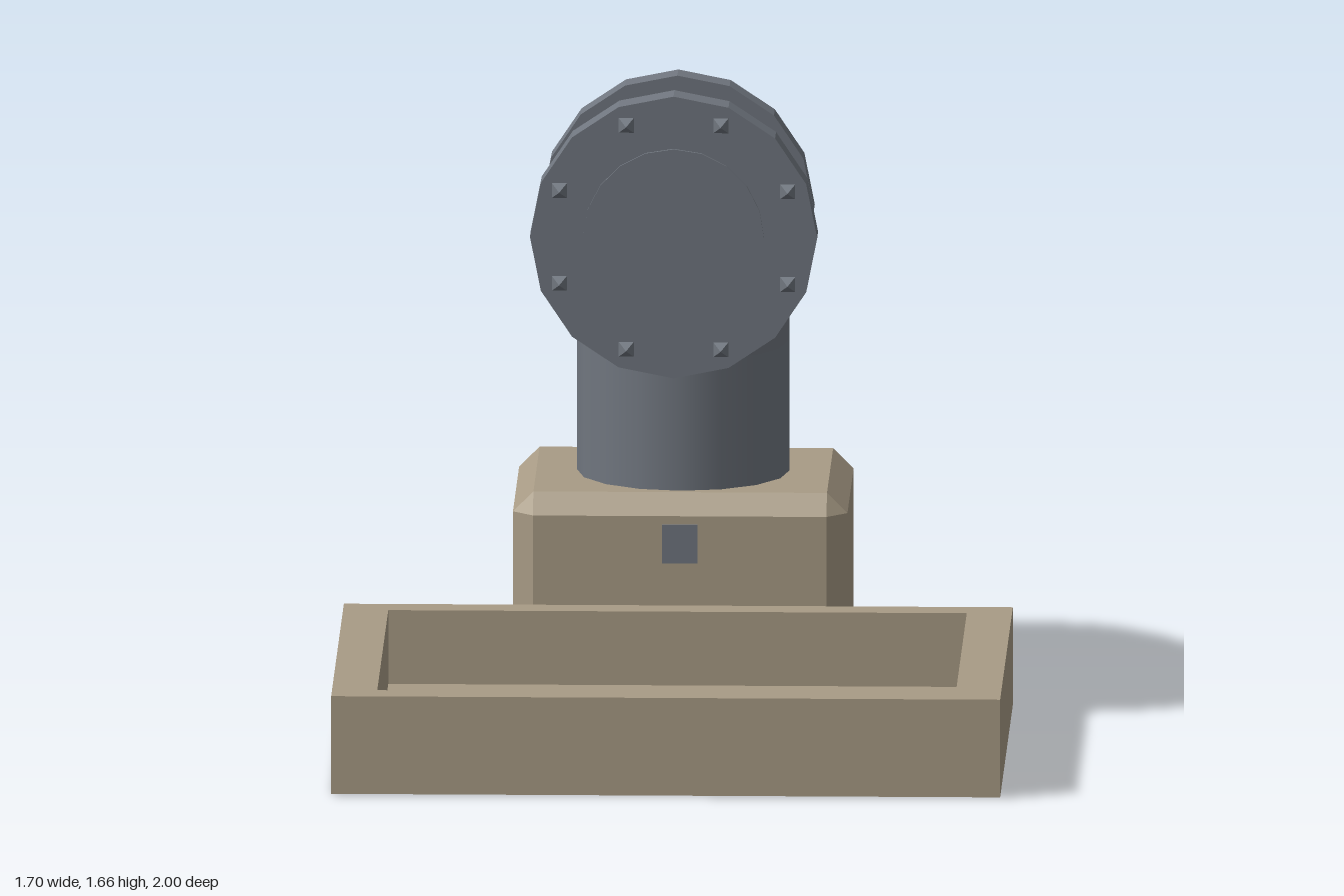
import * as THREE from 'three';
import { ConvexGeometry } from 'three/addons/geometries/ConvexGeometry.js';

export function createModel() {
  const model = new THREE.Group();
  const stone = new THREE.MeshStandardMaterial({ color: 0xa89b85 });
  stone.name = 'stone';
  const steel = new THREE.MeshStandardMaterial({ color: 0x70767f });
  steel.name = 'steel';

  const add = (name, geometry, material, x = 0, y = 0, z = 0, parent = model) => {
    const mesh = new THREE.Mesh(geometry, material);
    mesh.name = name;
    mesh.position.set(x, y, z);
    parent.add(mesh);
    return mesh;
  };
  const flat = (geometry) => {
    const g = geometry.toNonIndexed();
    g.computeVertexNormals();
    return g;
  };

  // Basin: rectangular rim with a sunken floor and a steel underside
  const rim = new THREE.Shape([[-0.85, -1], [0.85, -1], [0.85, 0.19], [-0.85, 0.19]]
    .map(([x, y]) => new THREE.Vector2(x, y)));
  rim.holes.push(new THREE.Path([[-0.735, -0.92], [-0.735, 0.11], [0.735, 0.11], [0.735, -0.92]]
    .map(([x, y]) => new THREE.Vector2(x, y))));
  const rimGeometry = new THREE.ExtrudeGeometry(rim, { depth: 0.253, bevelEnabled: false });
  rimGeometry.rotateX(-Math.PI / 2);
  add('basinRim', rimGeometry, stone, 0, 0.003, 0);
  add('basinFloor', new THREE.BoxGeometry(1.47, 0.06, 1.03), stone, 0, 0.035, 0.405);
  add('basinUnderside', new THREE.PlaneGeometry(1.7, 1.19).rotateX(Math.PI / 2), steel, 0, 0, 0.405);

  // Pedestal: box with chamfered edges, steel on its lowest faces
  const [hx, hy, hz, c] = [0.425, 0.2575, 0.34, 0.052];
  const points = [];
  for (const sx of [-1, 1]) for (const sy of [-1, 1]) for (const sz of [-1, 1]) {
    points.push(
      new THREE.Vector3(sx * hx, sy * (hy - c), sz * (hz - c)),
      new THREE.Vector3(sx * (hx - c), sy * hy, sz * (hz - c)),
      new THREE.Vector3(sx * (hx - c), sy * (hy - c), sz * hz));
  }
  const block = new ConvexGeometry(points);
  const p = block.attributes.position;
  for (let i = 0; i < p.count; i += 3) {
    const top = Math.max(p.getY(i), p.getY(i + 1), p.getY(i + 2));
    block.addGroup(i, 3, top < 0 ? 1 : 0);
  }
  add('pedestal', block, [stone, steel], 0, hy, -0.65);
  for (const s of [-1, 1]) {
    add(s > 0 ? 'frontPlate' : 'backPlate', new THREE.BoxGeometry(0.09, 0.1, 0.009),
      steel, 0, 0.392, -0.65 + s * (hz + 0.004));
  }

  // Pipe: upright, quarter bend and straight run towards the front
  const r = 0.27;
  add('uprightPipe', new THREE.CylinderGeometry(r, r, 0.36, 16, 1, true), steel, 0, 0.67, -0.65);
  const bend = new THREE.TorusGeometry(0.45, r, 16, 20, Math.PI / 2).rotateY(Math.PI / 2);
  add('pipeBend', bend, steel, 0, 0.85, -0.2);

  // Outlet parts lie along z, centred on the pipe axis
  const outlet = new THREE.Group();
  outlet.name = 'outlet';
  outlet.position.y = 1.3;
  model.add(outlet);
  const disc = (radius, z0, z1, sides, open = false) =>
    new THREE.CylinderGeometry(radius, radius, z1 - z0, sides, 1, open)
      .rotateX(Math.PI / 2).translate(0, 0, (z0 + z1) / 2);
  add('outletPipe', disc(r, -0.2, 0.2, 16, true), steel, 0, 0, 0, outlet);
  add('collar', flat(disc(0.347, -0.18, -0.1, 16)), steel, 0, 0, 0, outlet);
  add('flange', flat(disc(0.365, 0.175, 0.26, 16)), steel, 0, 0, 0, outlet);
  add('outletCap', flat(disc(0.23, 0.2, 0.268, 20)), steel, 0, 0, 0, outlet);

  // Bolts: small square pyramids around the flange
  const bolt = flat(new THREE.ConeGeometry(0.028, 0.03, 4).rotateY(Math.PI / 4).rotateX(Math.PI / 2));
  for (let i = 0; i < 8; i++) {
    const a = (i + 0.5) * Math.PI / 4;
    add('bolt', bolt, steel, 0.314 * Math.cos(a), 0.314 * Math.sin(a), 0.274, outlet);
  }
  return model;
}
